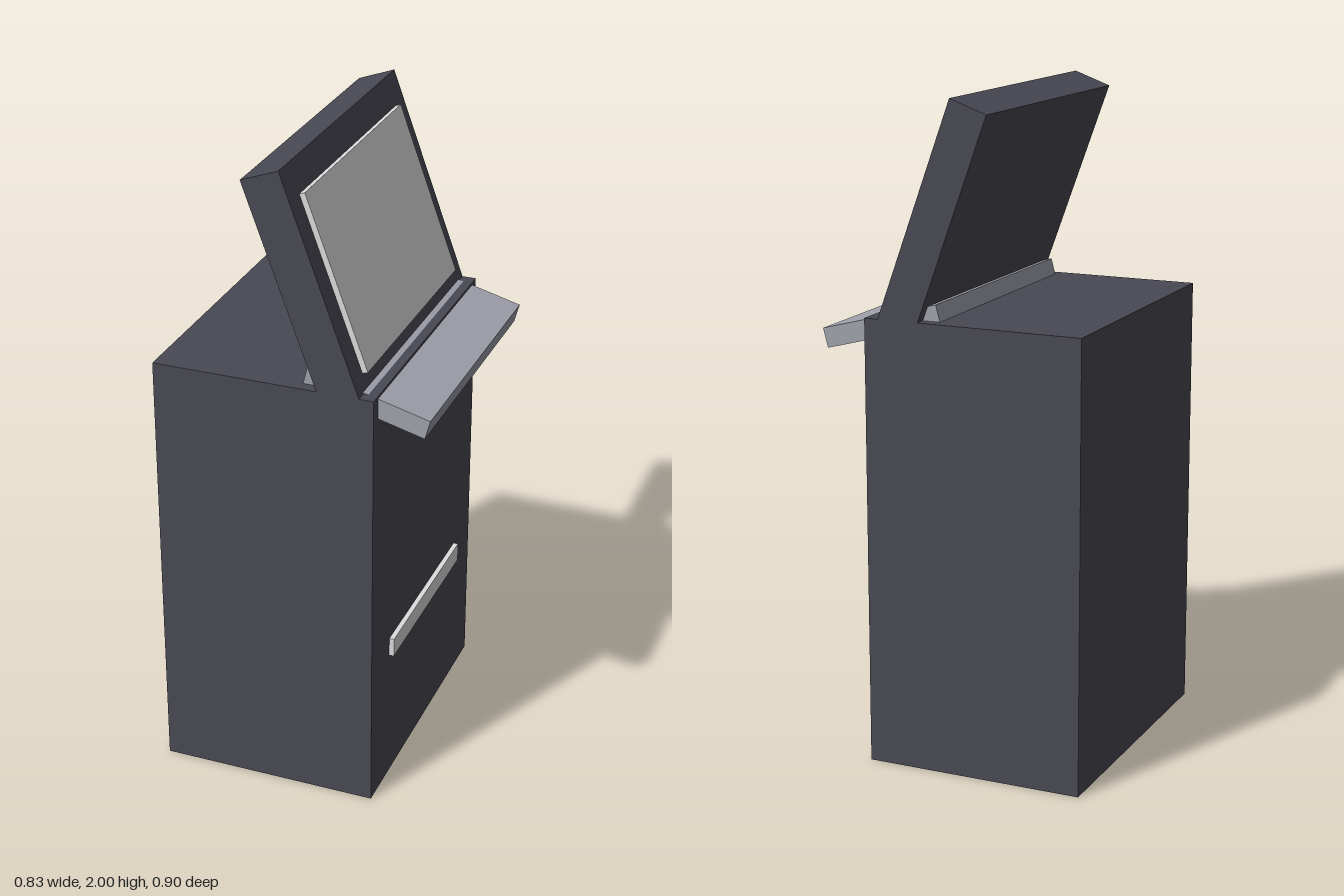
import * as THREE from 'three';

const material = (name, color) => {
  const m = new THREE.MeshStandardMaterial({ color });
  m.name = name;
  return m;
};

export function createModel() {
  const group = new THREE.Group();
  group.name = 'kiosk';
  const casing = material('dark casing', 0x494954);
  const shelfGrey = material('shelf grey', 0xa0a2ac);
  const paleGrey = material('pale grey', 0xdddddd);

  const box = (name, mat, size, position, parent = group) => {
    const mesh = new THREE.Mesh(new THREE.BoxGeometry(...size), mat);
    mesh.name = name;
    mesh.position.set(...position);
    parent.add(mesh);
    return mesh;
  };

  // Cabinet, with the working side facing +x
  box('cabinet', casing, [0.676, 1.36, 0.9], [-0.077, 0.68, 0]);

  // Slot plate low on the working side
  box('slot', paleGrey, [0.03, 0.06, 0.6], [0.261, 0.46, 0]);

  // Sloping shelf that passes through the top of the cabinet
  const shelf = box('shelf', shelfGrey, [0.38, 0.06, 0.83], [0.225, 1.331, 0]);
  shelf.rotation.z = THREE.MathUtils.degToRad(-15);

  // Leaning display: origin at the top edge of its face, y running up the face
  const display = new THREE.Group();
  display.name = 'display';
  display.position.set(-0.015, 2, 0);
  display.rotation.z = THREE.MathUtils.degToRad(20);
  group.add(display);
  box('displayHousing', casing, [0.12, 0.7, 0.9], [-0.06, -0.35, 0], display);
  box('screen', paleGrey, [0.03, 0.542, 0.76], [0.002, -0.363, 0], display);

  return group;
}
